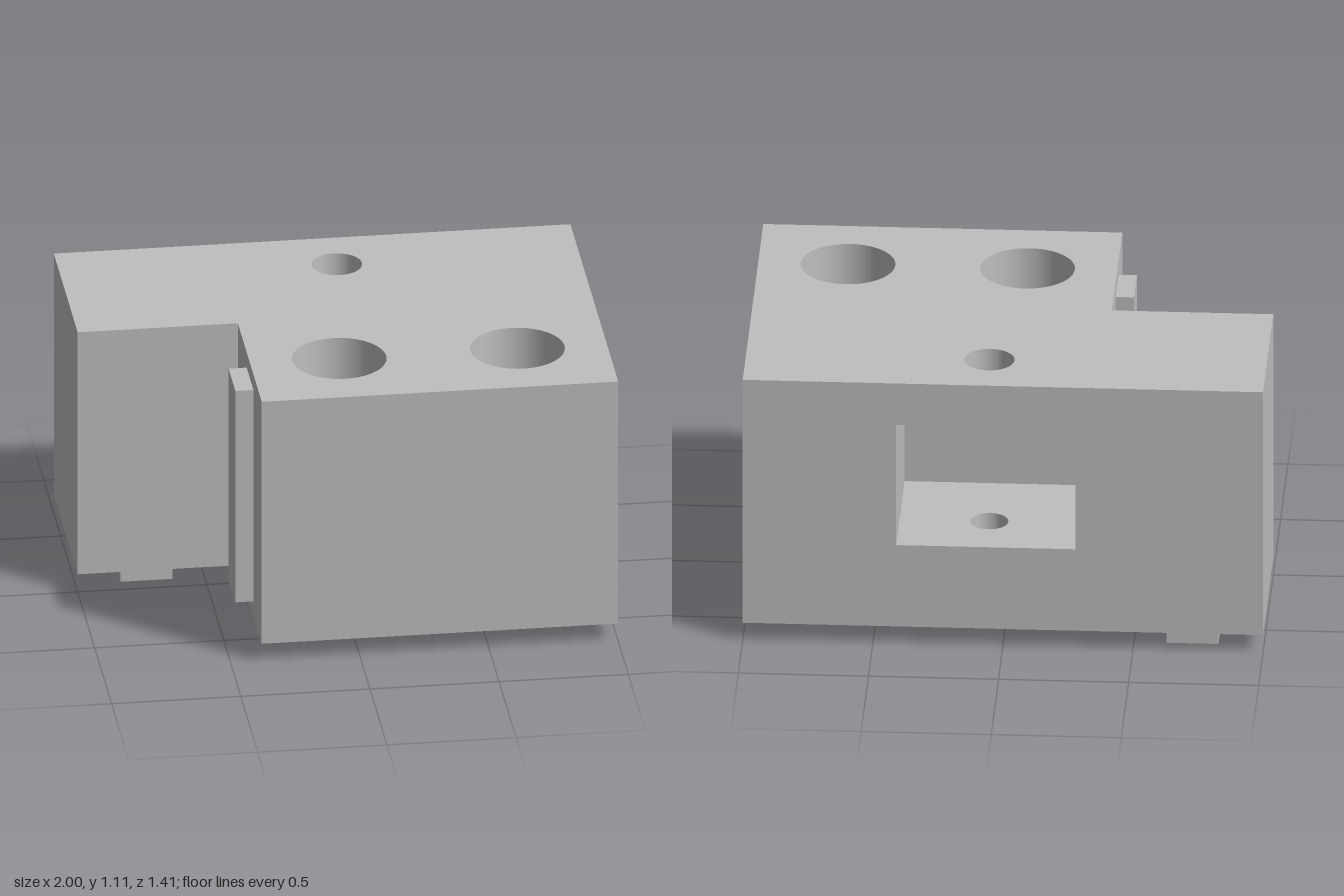
import * as THREE from 'three';
import { mergeGeometries } from 'three/addons/utils/BufferGeometryUtils.js';

// Main dimensions
const BOTTOM = 0.075, TOP = 1.105, BACK = -0.705, FRONT = 0.703;
const POCKET = { x0: -0.28, x1: 0.41, y0: 0.42, y1: 0.93, z: -0.127 };
const BOLTS = [{ x: -0.035, z: 0.36 }, { x: 0.655, z: 0.36 }];
const PIN = { x: 0.065, z: -0.47 };
const BOLT_R = 0.097, BORE_R = 0.182, BORE_FLOOR = 0.44, PIN_TOP_R = 0.097, PIN_LOW_R = 0.073;

// L-shaped plan as [x, z], running so that walls face outwards; starts at the back edge
const OUTLINE = [[1, BACK], [-1, BACK], [-1, 0], [-0.38, 0], [-0.38, FRONT], [1, FRONT]];

export function createModel() {
  const model = new THREE.Group();
  const grey = new THREE.MeshStandardMaterial({ color: 0xbfbfbf });

  const add = (name, geometry) => {
    const mesh = new THREE.Mesh(geometry, grey);
    mesh.name = name;
    model.add(mesh);
  };

  // Horizontal face with round holes, facing up or down
  const deck = (points, holes, y, up) => {
    const s = up ? -1 : 1;
    const shape = new THREE.Shape(points.map(([x, z]) => new THREE.Vector2(x, s * z)));
    for (const h of holes) {
      shape.holes.push(new THREE.Path().absarc(h.x, s * h.z, h.r, 0, Math.PI * 2, true));
    }
    return new THREE.ShapeGeometry(shape, 24).rotateX(s * Math.PI / 2).translate(0, y, 0);
  };

  // Upright wall between two plan points, facing right of the travel direction
  const wall = ([ax, az], [bx, bz], y0, y1) =>
    new THREE.PlaneGeometry(Math.hypot(bx - ax, bz - az), y1 - y0)
      .rotateY(Math.atan2(az - bz, bx - ax))
      .translate((ax + bx) / 2, (y0 + y1) / 2, (az + bz) / 2);

  // Inside lining of a hole; each profile step [r, y] downwards keeps a sharp edge
  const lining = (at, profile) => mergeGeometries(profile.slice(1).map((p, i) =>
    new THREE.LatheGeometry([new THREE.Vector2(...profile[i]), new THREE.Vector2(...p)], 48)
      .translate(at.x, 0, at.z)));

  // Block: top, underside, outer walls and back wall with its opening
  const bolts = (r) => BOLTS.map((b) => ({ ...b, r }));
  const pin = (r) => ({ ...PIN, r });
  add('top', deck(OUTLINE, [...bolts(BORE_R), pin(PIN_TOP_R)], TOP, true));
  add('underside', deck(OUTLINE, [...bolts(BOLT_R), pin(PIN_LOW_R)], BOTTOM, false));
  add('outerWalls', mergeGeometries(OUTLINE.slice(1).map((p, i) =>
    wall(p, OUTLINE[(i + 2) % OUTLINE.length], BOTTOM, TOP))));

  const rect = (Type, x0, x1, y0, y1) => new Type([[x0, y0], [x1, y0], [x1, y1], [x0, y1]]
    .map(([x, y]) => new THREE.Vector2(x, y)));
  const { x0, x1, y0, y1, z } = POCKET;
  const backShape = rect(THREE.Shape, -1, 1, BOTTOM, TOP);
  backShape.holes.push(rect(THREE.Path, -x1, -x0, y0, y1));
  add('backWall', new THREE.ShapeGeometry(backShape).rotateY(Math.PI).translate(0, 0, BACK));

  // Pocket entered from the back
  const plan = [[x1, BACK], [x1, z], [x0, z], [x0, BACK]];
  add('pocketWalls', mergeGeometries([0, 1, 2].map((i) => wall(plan[i], plan[i + 1], y0, y1))));
  add('pocketFloor', deck(plan, [pin(PIN_LOW_R)], y0, true));
  add('pocketCeiling', deck(plan, [pin(PIN_TOP_R)], y1, false));

  // Counterbored bolt holes and the pin hole through the pocket
  for (const b of BOLTS) {
    add('boltHole', lining(b, [[BORE_R, TOP], [BORE_R, BORE_FLOOR], [BOLT_R, BORE_FLOOR], [BOLT_R, BOTTOM]]));
  }
  add('upperPinHole', lining(PIN, [[PIN_TOP_R, TOP], [PIN_TOP_R, y1]]));
  add('lowerPinHole', lining(PIN, [[PIN_LOW_R, y0], [PIN_LOW_R, BOTTOM]]));

  // Raised locating keys
  const key = (name, a, b) => add(name,
    new THREE.BoxGeometry(b[0] - a[0], b[1] - a[1], b[2] - a[2])
      .translate((a[0] + b[0]) / 2, (a[1] + b[1]) / 2, (a[2] + b[2]) / 2));
  key('sideKey', [-0.45, 0.14, 0.26], [-0.38, 1.04, 0.46]);
  key('bottomKey', [-0.825, 0, -0.635], [-0.625, BOTTOM, -0.068]);

  return model;
}
